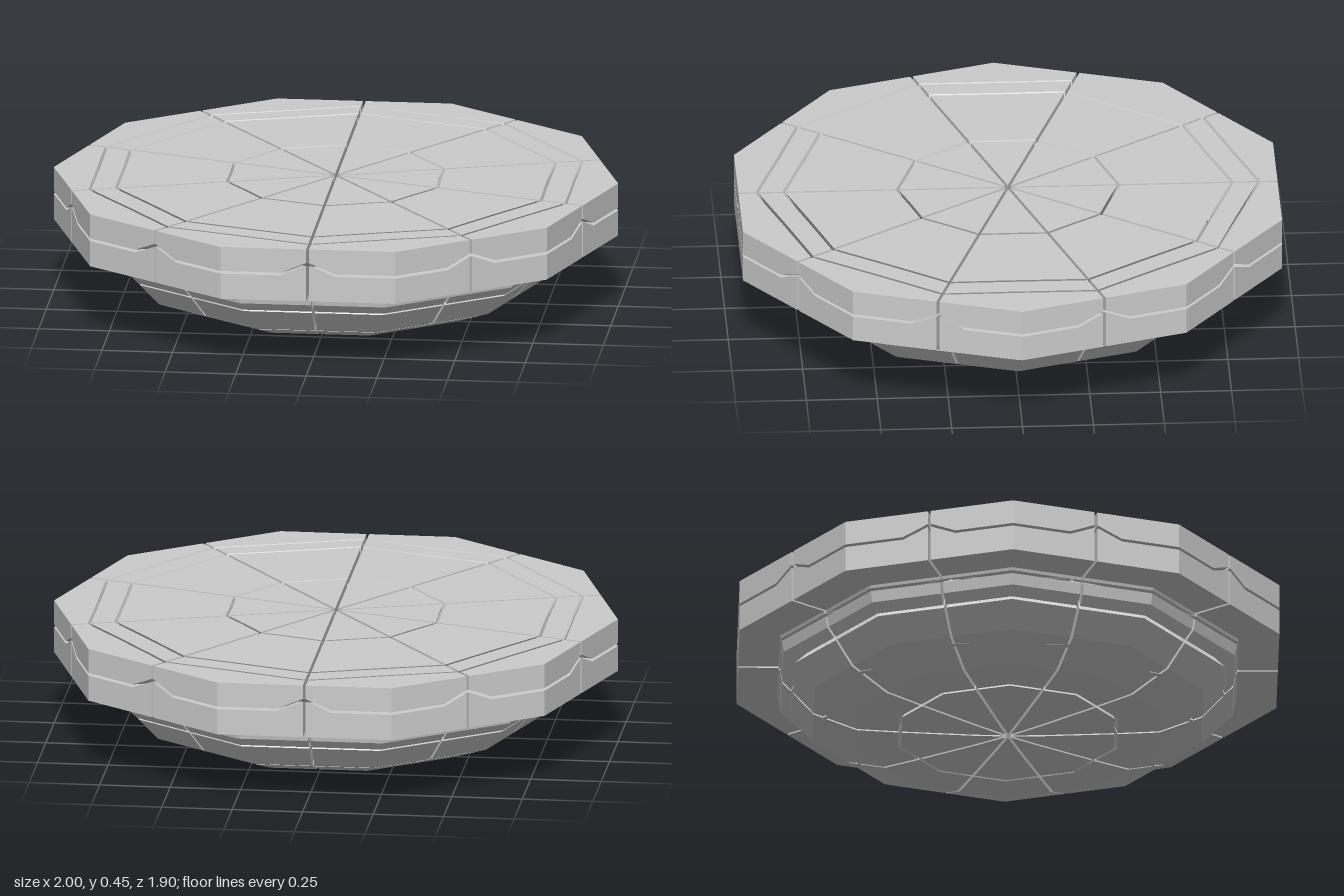
import * as THREE from 'three';

const SIDES = 10;
const HALF = Math.PI / SIDES;      // half the angle of one wedge
const FLAT = Math.cos(HALF);       // mid-edge radius / corner radius
const GAP = 0.005;                 // half the width of a crack

// A profile node holds [r, y] at the wedge's crack plane and at its corner plane.
// Surface nodes follow the decagon; inner nodes run straight from crack to crack.
const surface = (R, y) => ({ outer: true, crack: [R * FLAT, y], corner: [R, y] });
const inner = (r, y, outer = false) => ({ outer, crack: [r, y], corner: [r * FLAT, y] });

const N = {
  topCentre: inner(0.0165, 0.45, true),
  top1: inner(0.39, 0.45, true),
  top2: inner(0.79, 0.45, true),
  top3: inner(0.885, 0.45, true),
  rimTop: surface(1, 0.45),
  rimMid: { outer: true, crack: [FLAT, 0.395], corner: [1, 0.357] },
  rimLow: surface(1, 0.26),
  join: surface(0.85, 0.26),
  hull1: surface(0.845, 0.245),
  hull2: surface(0.835, 0.2),
  hull3: surface(0.8, 0.165),
  hull4: surface(0.72, 0.08),
  hull5: surface(0.68, 0.065),
  hull6: surface(0.56, 0.02),
  hull7: surface(0.4, 0.012),
  hull8: surface(0.13, 0.002),
  bottomCentre: inner(0.0165, 0, true),
  core: inner(0.0165, 0.22, true),
  in1: inner(0.3, 0.22),
  in2: inner(0.7, 0.3),
  in3: inner(0.84, 0.36),
};

// Fragments of one wedge, each a clockwise outline of its cross-section
const CELLS = {
  centrePlate: ['topCentre', 'top1', 'in1', 'core'],
  middlePlate: ['top1', 'top2', 'in2', 'in1'],
  narrowPlate: ['top2', 'top3', 'in3', 'in2'],
  upperRim: ['top3', 'rimTop', 'rimMid', 'in3'],
  lowerRim: ['in2', 'in3', 'rimMid', 'rimLow', 'join', 'hull1'],
  hullCollar: ['in2', 'hull1', 'hull2', 'hull3'],
  hullSide: ['in2', 'hull3', 'hull4', 'hull5', 'in1'],
  hullCurve: ['in1', 'hull5', 'hull6', 'hull7'],
  hullBase: ['in1', 'hull7', 'hull8', 'core'],
  hullCentre: ['core', 'hull8', 'bottomCentre'],
};

// Move every crack edge of an outline inwards, leaving the outer surface in place
function inset(nodes, station) {
  const n = nodes.length;
  const lines = nodes.map((a, i) => {
    const b = nodes[(i + 1) % n];
    const p = a[station], q = b[station];
    const dx = q[0] - p[0], dy = q[1] - p[1], len = Math.hypot(dx, dy);
    const d = a.outer && b.outer ? 0 : GAP;
    return { p: [p[0] + (dy / len) * d, p[1] - (dx / len) * d], d: [dx / len, dy / len] };
  });
  return lines.map((line, i) => {
    const prev = lines[(i + n - 1) % n];
    const cross = prev.d[0] * line.d[1] - prev.d[1] * line.d[0];
    if (Math.abs(cross) < 0.02) return line.p;
    const t = ((line.p[0] - prev.p[0]) * line.d[1] - (line.p[1] - prev.p[1]) * line.d[0]) / cross;
    return [prev.p[0] + prev.d[0] * t, prev.p[1] + prev.d[1] * t];
  });
}

// Sweep a fragment's cross-section from crack to corner to crack
function shardGeometry(names) {
  const nodes = names.map((name) => N[name]);
  const crack = inset(nodes, 'crack'), corner = inset(nodes, 'corner');
  const n = nodes.length;

  const crackRing = (side) => crack.map(([r, y]) => new THREE.Vector3(
    r * Math.cos(HALF) + GAP * Math.sin(HALF), y,
    side * (r * Math.sin(HALF) - GAP * Math.cos(HALF))));
  const cornerRing = corner.map(([r, y]) => new THREE.Vector3(r, y, 0));
  const nearRing = (ring) => ring.map((v, i) => {
    const p = v.clone().lerp(cornerRing[i], 0.3);
    p.y = cornerRing[i].y;
    return p;
  });
  const first = crackRing(-1), last = crackRing(1);
  const rings = [first, nearRing(first), cornerRing, nearRing(last), last];

  const pos = [];
  const tri = (...pts) => pts.forEach((p) => pos.push(p.x, p.y, p.z));
  for (let s = 0; s < rings.length - 1; s++) {
    for (let i = 0; i < n; i++) {
      const j = (i + 1) % n, a = rings[s], b = rings[s + 1];
      tri(a[i], b[i], a[j]);
      tri(a[j], b[i], b[j]);
    }
  }
  // End faces along the radial cracks
  const flat = crack.map(([r, y]) => new THREE.Vector2(r, y));
  for (const [a, b, c] of THREE.ShapeUtils.triangulateShape(flat, [])) {
    const clockwise = THREE.ShapeUtils.area([flat[a], flat[b], flat[c]]) < 0;
    const [u, w] = clockwise ? [b, c] : [c, b];
    tri(first[a], first[u], first[w]);
    tri(last[a], last[w], last[u]);
  }
  const geometry = new THREE.BufferGeometry();
  geometry.setAttribute('position', new THREE.Float32BufferAttribute(pos, 3));
  geometry.computeVertexNormals();
  return geometry;
}

export function createModel() {
  const model = new THREE.Group();
  model.name = 'crackedDisc';
  const material = new THREE.MeshStandardMaterial({ color: 0xcccccc, flatShading: true });
  const shards = Object.entries(CELLS).map(([name, nodes]) => [name, shardGeometry(nodes)]);

  // Ten equal wedges around the centre
  for (let k = 0; k < SIDES; k++) {
    const wedge = new THREE.Group();
    wedge.name = `wedge${k + 1}`;
    wedge.rotation.y = k * 2 * HALF;
    for (const [name, geometry] of shards) {
      const mesh = new THREE.Mesh(geometry, material);
      mesh.name = name;
      wedge.add(mesh);
    }
    model.add(wedge);
  }
  return model;
}
